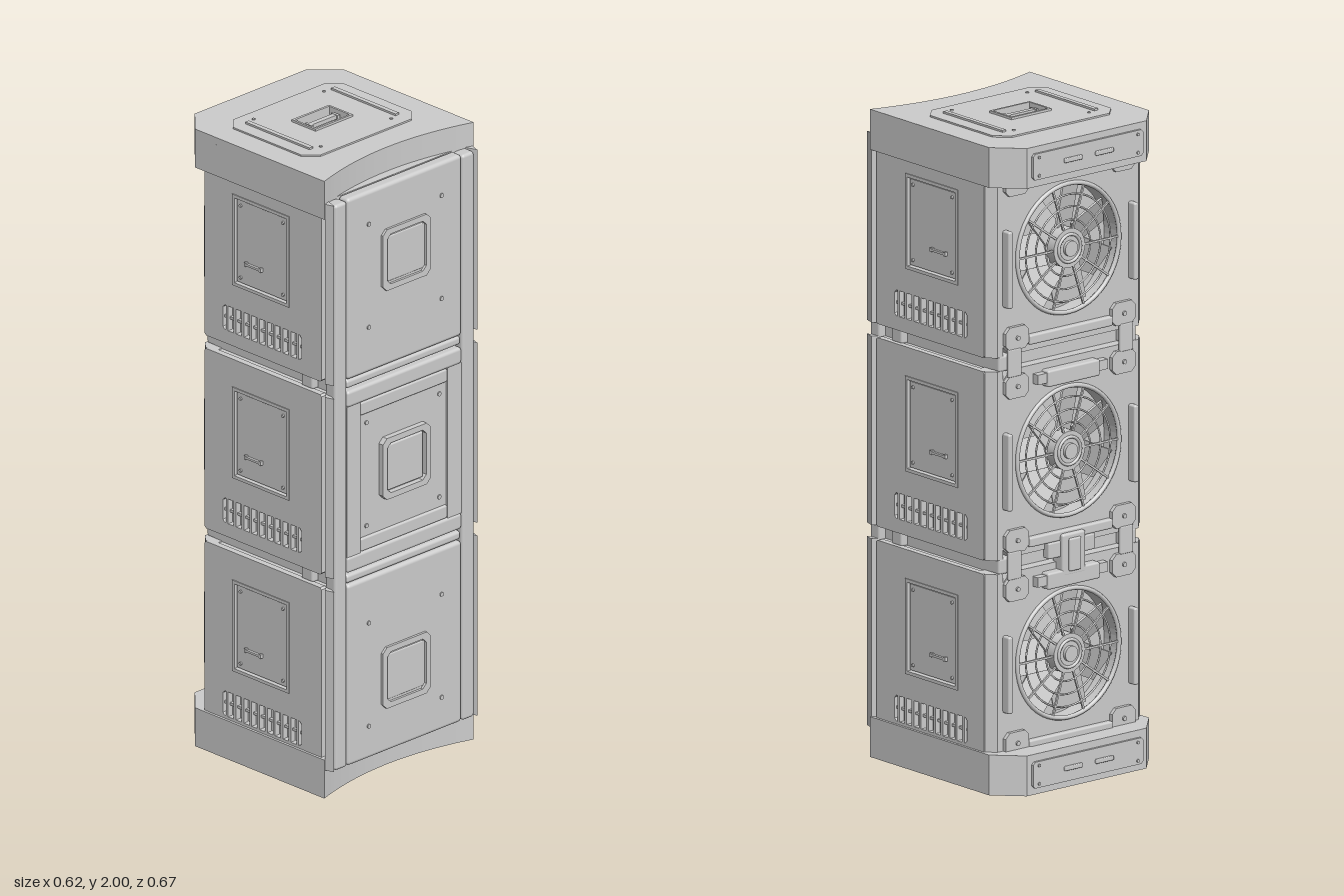
import * as THREE from 'three';
import { RoundedBoxGeometry } from 'three/addons/geometries/RoundedBoxGeometry.js';

const grey = new THREE.MeshStandardMaterial({ color: 0xcccccc });
grey.name = 'lightGrey';

function add(parent, name, geo, x = 0, y = 0, z = 0) {
  const m = new THREE.Mesh(geo, grey);
  m.name = name;
  m.position.set(x, y, z);
  parent.add(m);
  return m;
}
const box = (w, h, d) => new THREE.BoxGeometry(w, h, d);
const rbox = (w, h, d, r = 0.01) => new RoundedBoxGeometry(w, h, d, 2, r);
const poly = (pts) => new THREE.Shape(pts.map(([a, b]) => new THREE.Vector2(a, b)));

// Rectangle with cut corners, given by its edges
function cutRect(x0, y0, x1, y1, c = 0) {
  if (!c) return poly([[x0, y0], [x1, y0], [x1, y1], [x0, y1]]);
  return poly([[x0 + c, y0], [x1 - c, y0], [x1, y0 + c], [x1, y1 - c],
    [x1 - c, y1], [x0 + c, y1], [x0, y1 - c], [x0, y0 + c]]);
}
function extrude(shape, depth, holes = []) {
  const s = shape.clone();
  s.holes = holes;
  return new THREE.ExtrudeGeometry(s, { depth, bevelEnabled: false, curveSegments: 32 });
}
// Shape in (x, -z), extruded upwards
const slab = (shape, depth, holes) => extrude(shape, depth, holes).rotateX(-Math.PI / 2);
// Shape in (-z, y), extruded along x
const sideSlab = (shape, depth, holes) => extrude(shape, depth, holes).rotateY(Math.PI / 2);
const disc = (r, h, n = 16) => new THREE.CylinderGeometry(r, r, h, n).rotateX(Math.PI / 2);

// End cap: dir = 1 for the top, -1 for the bottom
function buildCap(dir) {
  const g = new THREE.Group();
  g.name = dir > 0 ? 'topCap' : 'bottomCap';
  const at = (a, b) => (dir > 0 ? a : 2 - b);
  const layer = (name, shape, a, b, holes) => add(g, name, slab(shape, b - a, holes), 0, at(a, b), 0);
  const block = (name, w, a, b, d, x, z) => add(g, name, box(w, b - a, d), x, at(a, b) + (b - a) / 2, z);

  const outline = new THREE.Shape();
  outline.moveTo(0.308, -0.30);
  outline.lineTo(0.308, 0.24);
  outline.lineTo(0.23, 0.32);
  outline.lineTo(-0.23, 0.32);
  outline.lineTo(-0.308, 0.24);
  outline.lineTo(-0.308, -0.30);
  outline.quadraticCurveTo(0, -0.20, 0.308, -0.30);
  const pocket = () => cutRect(-0.07, -0.022, 0.07, 0.062);
  layer('capBase', outline, 1.865, 1.965);
  layer('capShell', outline, 1.965, 1.988, [pocket()]);
  layer('capPlate', cutRect(-0.228, -0.162, 0.228, 0.202, 0.04), 1.988, 1.993, [pocket()]);
  layer('handleFrame', cutRect(-0.077, -0.029, 0.077, 0.07), 1.988, 2.0, [pocket()]);
  block('handleBar', 0.11, 1.98, 1.993, 0.016, 0, -0.02);
  for (const s of [-1, 1]) {
    block('handlePost', 0.009, 1.965, 1.994, 0.028, s * 0.054, -0.02);
    block('capRail', 0.015, 1.99, 1.999, 0.268, s * 0.177, -0.021);
    for (const z of [-0.16, 0.12])
      add(g, 'capScrew', new THREE.CylinderGeometry(0.005, 0.005, 0.004, 10), s * 0.145, at(1.993, 1.996) + 0.0015, z);
  }
  // Rear name-plate shaped panel with two raised bars
  const mid = at(1.88, 1.975) + 0.0475;
  add(g, 'capRearPlate', extrude(cutRect(-0.212, -0.04, 0.212, 0.04, 0.008), 0.008), 0, mid, -0.328);
  for (const s of [-1, 1]) {
    add(g, 'capRearBar', rbox(0.068, 0.014, 0.012, 0.003), s * 0.06, mid, -0.328);
    for (const v of [-1, 1]) add(g, 'capRearScrew', disc(0.005, 0.006, 10), s * 0.19, mid + v * 0.028, -0.329);
  }
  return g;
}

// Recessed fan with a wire guard
function buildFan() {
  const g = new THREE.Group();
  g.name = 'fan';
  add(g, 'fanRim', new THREE.TorusGeometry(0.196, 0.007, 8, 48), 0, 0, -0.236);
  for (const r of [0.085, 0.125, 0.163])
    add(g, 'guardRing', new THREE.TorusGeometry(r, 0.003, 6, 40), 0, 0, -0.236);
  for (let i = 0; i < 10; i++) {
    const a = (i / 10) * Math.PI * 2;
    const spoke = add(g, 'guardSpoke', box(0.15, 0.006, 0.006), Math.cos(a) * 0.12, Math.sin(a) * 0.12, -0.236);
    spoke.rotation.z = a;
  }
  for (let i = 0; i < 7; i++) {
    const pivot = new THREE.Group();
    pivot.name = 'fanBladePivot';
    pivot.rotation.z = (i / 7) * Math.PI * 2;
    add(pivot, 'fanBlade', box(0.13, 0.1, 0.006), 0.118, 0, -0.196).rotation.x = 0.4;
    g.add(pivot);
  }
  add(g, 'fanHub', disc(0.06, 0.06, 32), 0, 0, -0.212);
  add(g, 'hubRing', new THREE.TorusGeometry(0.042, 0.005, 8, 32), 0, 0, -0.243);
  add(g, 'hubCap', disc(0.024, 0.02, 24), 0, 0, -0.242);
  return g;
}

// Side panel with an inset hatch and a slotted vent
function buildSide(s) {
  const g = new THREE.Group();
  g.name = s > 0 ? 'leftSide' : 'rightSide';
  const x = s > 0 ? 0.28 : -0.3;
  const face = s * 0.3;
  add(g, 'sidePanel', sideSlab(cutRect(-0.28, -0.288, 0.208, 0.288, 0.006), 0.02,
    [cutRect(-0.147, -0.091, 0.091, 0.2), cutRect(-0.197, -0.245, 0.131, -0.166, 0.008)]), x, 0, 0);
  add(g, 'hatchFrame', sideSlab(cutRect(-0.147, -0.091, 0.091, 0.2), 0.023,
    [cutRect(-0.137, -0.081, 0.081, 0.19)]), s > 0 ? 0.28 : -0.303);
  add(g, 'hatch', box(0.02, 0.262, 0.209), face - s * 0.014, 0.0545, 0.028);
  for (const z of [-0.06, 0.117]) for (const y of [-0.06, 0.17])
    add(g, 'hatchScrew', new THREE.CylinderGeometry(0.005, 0.005, 0.006, 10).rotateZ(Math.PI / 2), face - s * 0.002, y, z);
  add(g, 'hatchHandle', box(0.008, 0.007, 0.06), face + s * 0.002, -0.008, -0.003);
  for (const z of [-0.034, 0.028]) add(g, 'handleFoot', box(0.014, 0.012, 0.008), face - s * 0.001, -0.008, z);
  for (let i = 0; i < 10; i++)
    add(g, 'ventBar', box(0.018, 0.079, 0.01), face - s * 0.009, -0.2055, 0.18 - i * 0.0327);
  add(g, 'ventRail', box(0.01, 0.008, 0.328), face - s * 0.012, -0.2055, 0.033);
  return g;
}

// Rounded square badge with a sunken centre
function buildBadge() {
  const g = new THREE.Group();
  g.name = 'badge';
  add(g, 'badgeFrame', extrude(cutRect(-0.098, -0.098, 0.098, 0.098, 0.016), 0.018,
    [cutRect(-0.08, -0.08, 0.08, 0.08, 0.014)]), 0, 0, 0.315);
  add(g, 'badgeFace', rbox(0.146, 0.146, 0.012, 0.005), 0, 0, 0.322);
  return g;
}

function buildModule(index, cy) {
  const g = new THREE.Group();
  g.name = ['topModule', 'middleModule', 'bottomModule'][index];
  g.position.y = cy;
  const dir = 1 - index;

  add(g, 'core', box(0.56, 0.572, 0.45), 0, 0, 0.055);
  for (const s of [-1, 1]) {
    g.add(buildSide(s));
    // Flared front corner
    const fin = [[s * 0.28, -0.28], [s * 0.304, -0.298], [s * 0.295, -0.328], [s * 0.283, -0.296]];
    add(g, 'cornerFin', slab(poly(fin), 0.576), 0, -0.288, 0);
    // Cut rear corner
    const post = [[s * 0.25, 0.17], [s * 0.29, 0.17], [s * 0.296, 0.208], [s * 0.272, 0.235], [s * 0.25, 0.235]];
    add(g, 'rearCorner', slab(poly(post), 0.576), 0, -0.288, 0);
    add(g, 'rearBar', rbox(0.018, 0.235, 0.034, 0.006), s * 0.242, -0.02, -0.246);
    for (const v of [-1, 1]) {
      add(g, 'rearBracket', extrude(cutRect(-0.045, -0.035, 0.045, 0.035, 0.016), 0.012), s * 0.205, v * 0.235, -0.248);
      add(g, 'rearScrew', disc(0.007, 0.008, 10), s * 0.205, v * 0.235, -0.25);
    }
  }

  // Rear frame around the fan
  const hole = new THREE.Path();
  hole.absarc(0, -0.005, 0.195, 0, Math.PI * 2);
  add(g, 'rearFrame', extrude(cutRect(-0.252, -0.286, 0.252, 0.286, 0.03), 0.066, [hole]), 0, 0, -0.235);
  g.add(buildFan());
  add(g, 'lowerSill', rbox(0.32, 0.03, 0.022, 0.006), 0, -0.25, -0.242);
  if (index > 0) {
    add(g, 'upperBlock', rbox(0.2, 0.05, 0.035, 0.006), 0, 0.24, -0.247);
    for (const s of [-1, 1]) add(g, 'blockEar', box(0.04, 0.03, 0.025), s * 0.115, 0.243, -0.245);
  }

  // Front panel
  const by = dir * 0.051;
  if (index === 1) {
    add(g, 'frontPanel', box(0.36, 0.48, 0.04), 0, 0, 0.295);
    for (const v of [-1, 1]) {
      add(g, 'panelBar', rbox(0.472, 0.052, 0.05), 0, v * 0.265, 0.3);
      add(g, 'panelLip', rbox(0.356, 0.042, 0.03, 0.006), 0, v * 0.218, 0.308);
      add(g, 'panelSide', box(0.057, 0.482, 0.045), v * 0.2075, 0, 0.2985);
    }
  } else {
    add(g, 'frontPanel', rbox(0.472, 0.58, 0.042, 0.012), 0, 0, 0.304);
    add(g, 'panelEdge', rbox(0.472, 0.028, 0.04), 0, -dir * 0.306, 0.3);
  }
  for (const s of [-1, 1]) for (const v of [-1, 1])
    add(g, 'panelScrew', disc(0.007, 0.005, 10), s * 0.15, by * 0.4 + v * 0.165, index === 1 ? 0.316 : 0.326);
  const badge = buildBadge();
  badge.position.y = by;
  g.add(badge);
  return g;
}

export function createModel() {
  const model = new THREE.Group();
  model.name = 'fanTower';
  model.add(buildCap(1), buildCap(-1));

  const pitch = 0.618, centre = 1.007;
  for (let i = 0; i < 3; i++) model.add(buildModule(i, centre + (1 - i) * pitch));

  // Upright strips beside the front panels
  for (const s of [-1, 1])
    add(model, 'frontStrip', rbox(0.05, 1.81, 0.045, 0.01), s * 0.262, 1.005, 0.303);

  // Neck and spacers between modules
  for (const v of [-1, 1]) {
    const y = centre + v * pitch / 2;
    add(model, 'neck', box(0.53, 0.06, 0.48), 0, y, 0.04);
    for (const s of [-1, 1]) {
      add(model, 'frontSpacer', rbox(0.03, 0.05, 0.05, 0.008), s * 0.272, y, 0.205);
      add(model, 'rearSpacer', rbox(0.05, 0.05, 0.05, 0.008), s * 0.24, y, -0.21);
      add(model, 'rearLink', rbox(0.05, 0.085, 0.012, 0.004), s * 0.215, y, -0.244);
    }
  }

  // Latch joining the lower two modules at the rear
  const latchY = centre - pitch / 2;
  add(model, 'latchBody', rbox(0.09, 0.13, 0.05, 0.008), 0, latchY, -0.24);
  add(model, 'latchTongue', rbox(0.045, 0.1, 0.016, 0.005), 0, latchY, -0.264);
  for (const s of [-1, 1]) add(model, 'latchWing', rbox(0.05, 0.05, 0.03, 0.006), s * 0.065, latchY + 0.02, -0.24);
  return model;
}
